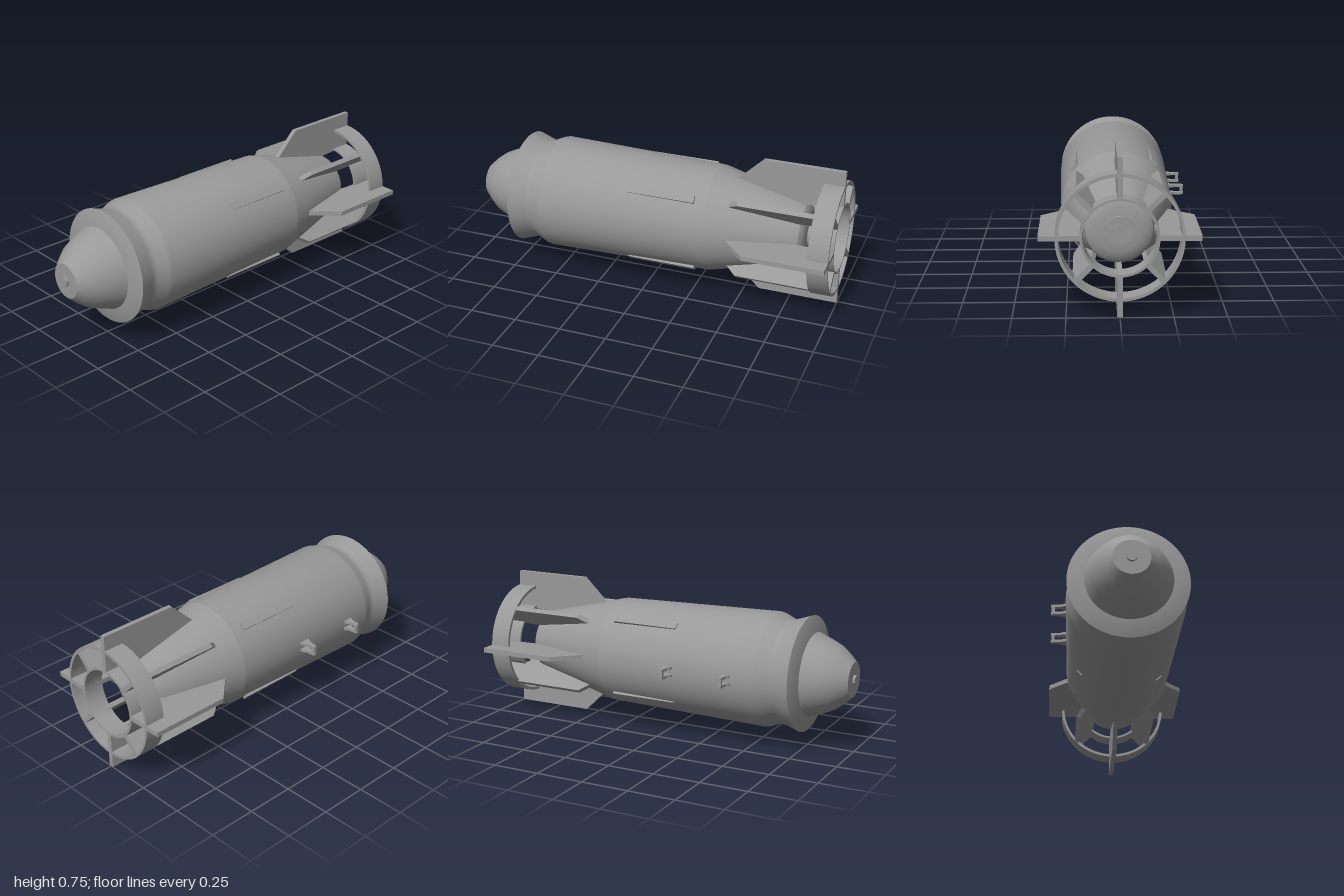
import * as THREE from 'three';
import { toCreasedNormals } from 'three/addons/utils/BufferGeometryUtils.js';

const steel = new THREE.MeshStandardMaterial({ color: 0x999999 });
steel.name = 'steel grey';

export function createModel() {
  const root = new THREE.Group();
  root.name = 'finnedBomb';
  root.position.y = 0.377; // long axis height

  const add = (name, geo, parent = root) => {
    const mesh = new THREE.Mesh(geo, steel);
    mesh.name = name;
    parent.add(mesh);
    return mesh;
  };

  // Solid of revolution about x, from [x, radius] pairs
  const turned = (name, pts, crease = 0.5) => {
    const geo = new THREE.LatheGeometry(pts.map(([x, r]) => new THREE.Vector2(r, x)), 72);
    geo.rotateZ(-Math.PI / 2);
    return add(name, toCreasedNormals(geo, crease));
  };

  // Flat plate cut from an outline, thickness centred on z
  const plate = (pts, thickness) => {
    const shape = new THREE.Shape(pts.map(([x, y]) => new THREE.Vector2(x, y)));
    const geo = new THREE.ExtrudeGeometry(shape, { depth: thickness, bevelEnabled: false });
    return geo.translate(0, 0, -thickness / 2);
  };

  // Nose and body
  turned('noseFuze', [[-1, 0], [-1, 0.025], [-0.98, 0.025]]);
  turned('noseCone', [[-0.987, 0], [-0.987, 0.09], [-0.945, 0.13], [-0.9, 0.165], [-0.84, 0.192], [-0.775, 0.217]]);
  turned('noseFlange', [[-0.775, 0.2], [-0.775, 0.222], [-0.747, 0.3]]);
  turned('body', [[-0.747, 0.3], [-0.665, 0.272], [-0.645, 0.267], [-0.625, 0.272], [-0.575, 0.295],
    [-0.555, 0.3], [0.335, 0.281]]);
  turned('tailCone', [[0.335, 0.281], [0.45, 0.253], [0.78, 0.172], [0.808, 0.16], [0.823, 0.14],
    [0.831, 0.11], [0.835, 0.06], [0.835, 0]]);
  turned('tailBoss', [[0.82, 0.068], [0.858, 0.068], [0.858, 0]]);
  turned('tailPin', [[0.85, 0.033], [0.873, 0.033], [0.873, 0]]);

  // Tail rings
  const ring = (name, ri, ro) =>
    turned(name, [[0.893, ri], [0.893, ro], [1, ro], [1, ri], [0.893, ri]]);
  ring('outerTailRing', 0.285, 0.3);
  ring('innerTailRing', 0.173, 0.185);

  // Four tall fins and four short ones between them
  const inner = [[1, 0.176], [0.78, 0.165], [0.45, 0.235]];
  const tall = [[0.445, 0.25], [0.577, 0.377], [1, 0.377], ...inner].reverse();
  const short = [[0.445, 0.25], [0.5, 0.298], [1, 0.298], ...inner].reverse();
  for (let i = 0; i < 8; i++) {
    const fin = add(i % 2 ? 'shortFin' : 'tallFin', plate(i % 2 ? short : tall, 0.025));
    fin.rotation.x = i * Math.PI / 4;
  }

  // Raised strips along the body
  for (let i = 0; i < 4; i++) {
    const geo = new THREE.BoxGeometry(0.365, 0.025, 0.038);
    geo.translate(0.0925, 0.2835, 0);
    add('bodyStrip', geo).rotation.x = THREE.MathUtils.degToRad(48 + i * 90);
  }

  // Suspension lugs: two tapered cheeks joined by a crossbar
  const cheek = [[-0.028, 0.285], [0.028, 0.285], [0.022, 0.308], [0.014, 0.32], [0.01, 0.362],
    [0.005, 0.371], [-0.005, 0.371], [-0.01, 0.362], [-0.014, 0.32], [-0.022, 0.308]];
  for (const x of [-0.415, -0.085]) {
    const lug = new THREE.Group();
    lug.name = 'suspensionLug';
    lug.position.x = x;
    root.add(lug);
    for (const side of [-1, 1]) {
      add('lugCheek', plate(cheek, 0.014).rotateX(-Math.PI / 2).translate(0, side * 0.02, 0), lug);
    }
    add('lugCrossbar', new THREE.BoxGeometry(0.02, 0.04, 0.016).translate(0, 0, -0.36), lug);
  }

  const model = new THREE.Group();
  model.name = 'model';
  model.add(root);
  return model;
}
